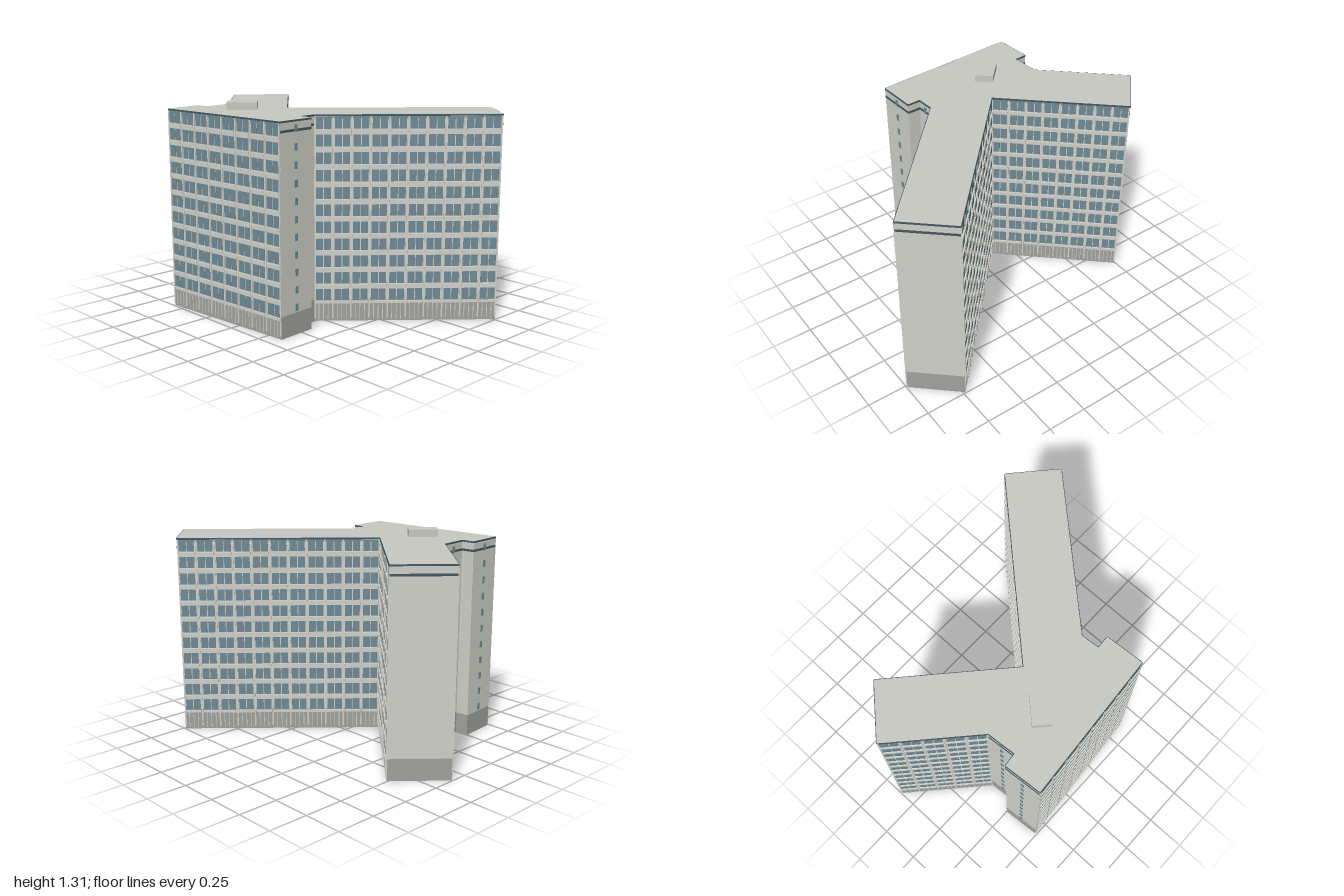
import * as THREE from 'three';
import { mergeGeometries } from 'three/addons/utils/BufferGeometryUtils.js';

const mat = (name, color) => {
  const m = new THREE.MeshStandardMaterial({ color });
  m.name = name;
  return m;
};

// Y-shaped footprint as [x, z], clockwise seen from above
const PLAN = [
  [0.737, -0.745], [0.995, -0.513], [0.25, 0.305], [0.258, 0.422], [0.343, 0.418],
  [0.358, 0.665], [-0.59, 0.738], [-0.609, 0.5], [-0.525, 0.492], [-0.54, 0.308],
  [-0.995, -0.107], [-0.745, -0.383], [-0.118, 0.187],
];
// Kind of wall for the edge that starts at each plan corner
const WALLS = ['blank', 'facade', 'slit', 'blank', 'slit', 'facade', 'slit', 'blank',
  'slit', 'facade', 'blank', 'facade', 'facade'];
const FLOORS = 11, STOREY = 0.1045, TOP = 1.262;

export function createModel() {
  const group = new THREE.Group();
  group.name = 'officeBlock';
  const mats = {
    wall: mat('pale concrete', 0xd0d0c9),
    base: mat('grey ground floor', 0xa1a19e),
    glass: mat('blue grey glass', 0x6f8a95),
    trim: mat('dark trim', 0x435860),
    roof: mat('roof grey', 0xc8c8c2),
  };

  // Solid floor slab or storey block from the footprint
  const slab = (name, y0, y1, material) => {
    const shape = new THREE.Shape(PLAN.map(([x, z]) => new THREE.Vector2(x, -z)));
    const geo = new THREE.ExtrudeGeometry(shape, { depth: y1 - y0, bevelEnabled: false });
    geo.rotateX(-Math.PI / 2).translate(0, y0, 0);
    const mesh = new THREE.Mesh(geo, material);
    mesh.name = name;
    group.add(mesh);
  };
  slab('groundFloor', 0, 0.135, mats.base);
  slab('upperFloors', 0.135, 1.25, mats.wall);
  slab('roof', 1.25, TOP, mats.roof);

  PLAN.forEach(([x0, z0], i) => {
    const [x1, z1] = PLAN[(i + 1) % PLAN.length];
    const dx = x1 - x0, dz = z1 - z0, len = Math.hypot(dx, dz);
    const wall = new THREE.Group();
    wall.name = WALLS[i] + 'Wall' + i;
    wall.position.set((x0 + x1) / 2, 0, (z0 + z1) / 2);
    wall.rotation.y = Math.atan2(dz, -dx); // local +z points outward

    // Boxes are gathered by part, then merged into one mesh each
    const parts = {};
    const box = (part, material, x, y, w, h, d) => {
      parts[part] ??= { material, list: [] };
      parts[part].list.push(new THREE.BoxGeometry(w, h, d).translate(x, y, d / 2));
    };

    box('coping', mats.trim, 0, 1.256, len, 0.01, 0.004);

    if (WALLS[i] === 'facade') {
      const bays = Math.round(len / 0.112), bay = len / bays;
      for (let b = 0; b <= bays; b++) {
        // Pilasters between the bays
        const x = THREE.MathUtils.clamp(-len / 2 + b * bay, -len / 2 + 0.005, len / 2 - 0.005);
        box('pilasters', mats.wall, x, 0.635, 0.009, 1.23, 0.006);
      }
      for (let b = 0; b < bays; b++) {
        const x = -len / 2 + (b + 0.5) * bay;
        // Ground floor fins
        for (const s of [-0.25, 0, 0.25])
          box('groundFins', mats.wall, x + s * bay, 0.06, 0.004, 0.1, 0.003);
        for (let f = 0; f < FLOORS; f++) {
          const y = 0.13 + f * STOREY;
          // Pair of windows above a projecting ledge
          for (const s of [-1, 1])
            box('windows', mats.glass, x + s * bay * 0.215, y + 0.037, bay * 0.385, 0.07, 0.002);
          box('ledges', mats.wall, x, y - 0.01, bay - 0.011, 0.015, 0.009);
        }
      }
      // Glazed strip under the coping
      box('topGlazing', mats.glass, 0, 1.244, len, 0.012, 0.0025);
    } else {
      // Dark bands near the top of the plain walls
      box('upperBand', mats.trim, 0, 1.202, len, 0.014, 0.003);
      if (WALLS[i] === 'slit') {
        for (let f = 0; f < FLOORS; f++)
          box('smallWindows', mats.glass, 0, 0.167 + f * STOREY, 0.021, 0.042, 0.004);
      }
    }

    for (const [name, { material, list }] of Object.entries(parts)) {
      const mesh = new THREE.Mesh(mergeGeometries(list), material);
      mesh.name = name;
      wall.add(mesh);
    }
    group.add(wall);
  });

  // Rooftop plant room
  const plant = new THREE.Mesh(new THREE.BoxGeometry(0.113, 0.045, 0.184), mats.roof);
  plant.name = 'plantRoom';
  plant.position.set(-0.249, TOP + 0.022, 0.435);
  plant.rotation.y = -0.75;
  group.add(plant);

  return group;
}
